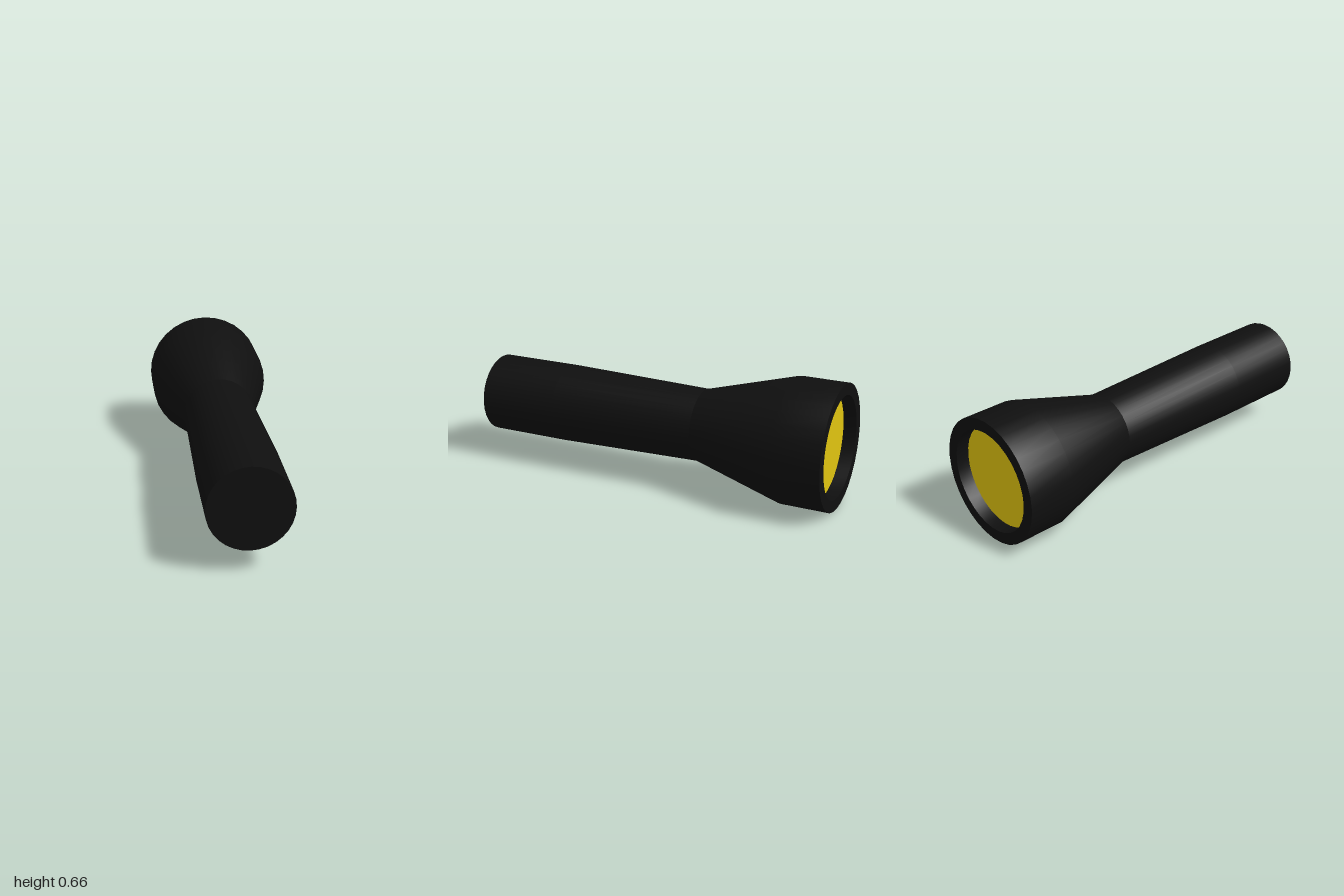
import * as THREE from 'three';
import { toCreasedNormals } from 'three/addons/utils/BufferGeometryUtils.js';

const SIDES = 32;
const HEAD_RADIUS = 0.332;
const BORE_RADIUS = 0.27;
const LENS_Z = -0.93;

// Turns a list of [radius, z] into a solid of revolution along z
function turned(profile) {
  const points = profile.map(([r, z]) => new THREE.Vector2(r, z));
  const geometry = new THREE.LatheGeometry(points, SIDES).rotateX(Math.PI / 2);
  return toCreasedNormals(geometry, Math.PI / 6);
}

export function createModel() {
  const black = new THREE.MeshStandardMaterial({ color: 0x0f0f0f });
  black.name = 'blackCasing';
  const yellow = new THREE.MeshStandardMaterial({ color: 0xe0c410 });
  yellow.name = 'yellowLens';

  const torch = new THREE.Group();
  torch.name = 'torch';

  // Flared head with a recessed bore and flat rim
  const head = new THREE.Mesh(turned([
    [BORE_RADIUS, LENS_Z], [BORE_RADIUS, -1], [HEAD_RADIUS, -1],
    [HEAD_RADIUS, -0.745], [0.193, -0.25],
  ]), black);
  head.name = 'head';

  // Slightly tapered handle, closed at the tail
  const handle = new THREE.Mesh(turned([
    [0.193, -0.25], [0.212, 0.56], [0.212, 1], [0, 1],
  ]), black);
  handle.name = 'handle';

  // Lens disc facing out of the head
  const lens = new THREE.Mesh(
    new THREE.CircleGeometry(BORE_RADIUS, SIDES).rotateY(Math.PI), yellow);
  lens.position.z = LENS_Z;
  lens.name = 'lens';

  torch.add(head, handle, lens);
  torch.position.y = HEAD_RADIUS;

  const model = new THREE.Group();
  model.name = 'model';
  model.add(torch);
  return model;
}
